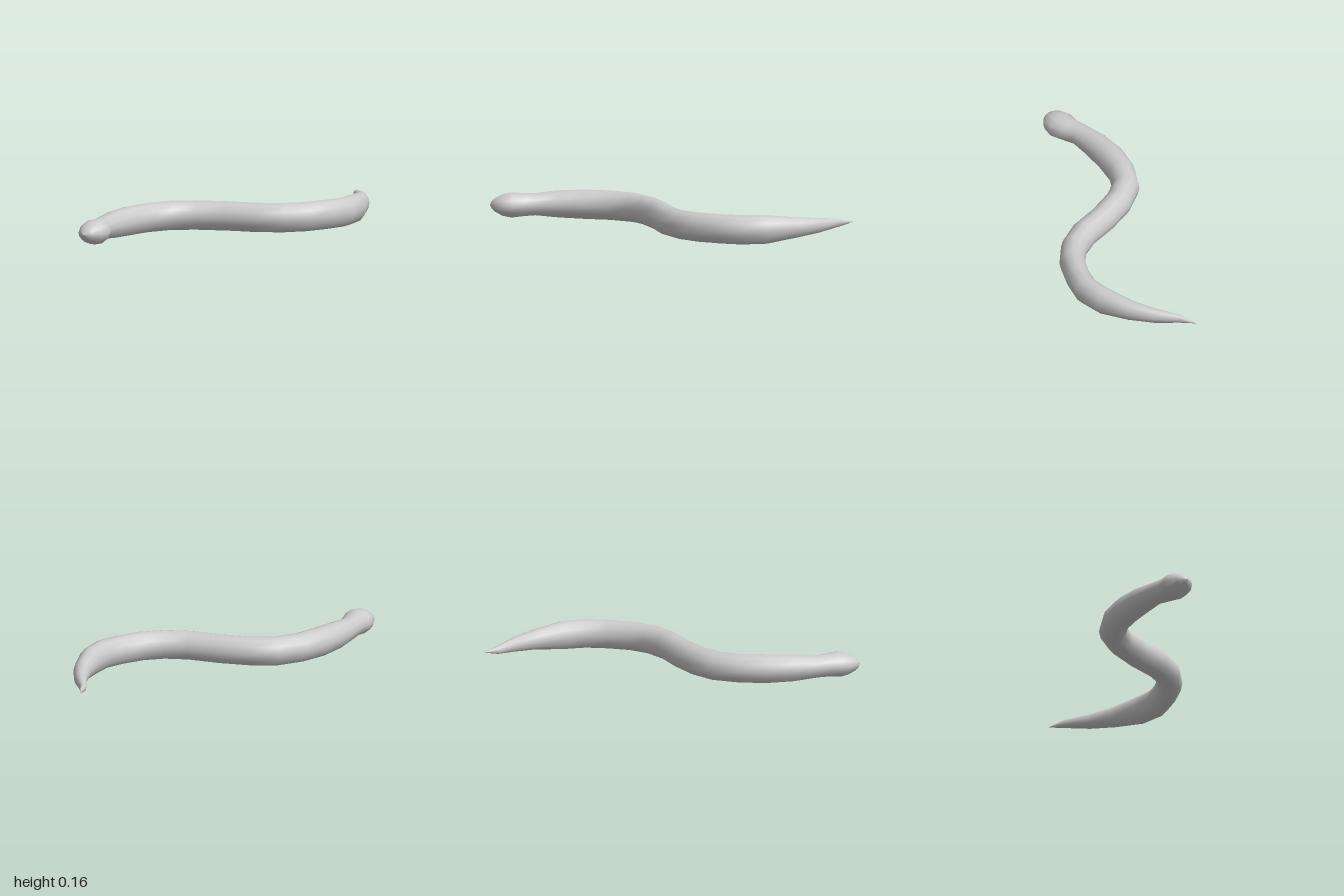
import * as THREE from 'three';

const SIDES = 12;
const MID_Y = 0.08;

// Cross-sections from tail to head: centre x, centre z, half width, half height
const SECTIONS = [
  [-0.2, -1.0, 0, 0],
  [-0.135, -0.935, 0.018, 0.022],
  [-0.015, -0.865, 0.034, 0.04],
  [0.095, -0.775, 0.048, 0.055],
  [0.2, -0.65, 0.062, 0.077],
  [0.258, -0.53, 0.066, 0.079],
  [0.264, -0.41, 0.065, 0.079],
  [0.25, -0.28, 0.069, 0.079],
  [0.202, -0.165, 0.07, 0.079],
  [0.11, -0.062, 0.071, 0.079],
  [-0.03, 0.035, 0.071, 0.079],
  [-0.155, 0.145, 0.072, 0.079],
  [-0.232, 0.255, 0.074, 0.079],
  [-0.255, 0.39, 0.074, 0.079],
  [-0.24, 0.53, 0.075, 0.079],
  [-0.202, 0.665, 0.069, 0.073],
  [-0.155, 0.78, 0.06, 0.06],
  [-0.115, 0.835, 0.067, 0.062],
  [-0.085, 0.89, 0.083, 0.068],
  [-0.068, 0.935, 0.073, 0.058],
  [-0.06, 0.972, 0.049, 0.038],
  [-0.054, 0.99, 0.026, 0.02],
  [-0.05, 1.0, 0, 0],
];

// Loft elliptical rings, each square to the winding centre line
function loft(sections) {
  const positions = [], index = [];
  const last = sections.length - 1;
  sections.forEach(([x, z, width, height], i) => {
    const before = sections[Math.max(i - 1, 0)];
    const after = sections[Math.min(i + 1, last)];
    const along = new THREE.Vector2(after[0] - before[0], after[1] - before[1]).normalize();
    for (let j = 0; j < SIDES; j++) {
      const angle = (j / SIDES) * Math.PI * 2;
      const side = Math.cos(angle) * width;
      positions.push(x + along.y * side, MID_Y + Math.sin(angle) * height, z - along.x * side);
    }
    if (i === last) return;
    for (let j = 0; j < SIDES; j++) {
      const a = i * SIDES + j, b = i * SIDES + ((j + 1) % SIDES);
      const c = a + SIDES, d = b + SIDES;
      if (i > 0) index.push(a, b, c);
      if (i < last - 1) index.push(b, d, c);
      else index.push(); // the nose closes to a point
    }
  });
  // the tail triangles are the second half of the first strip
  const geometry = new THREE.BufferGeometry();
  geometry.setAttribute('position', new THREE.Float32BufferAttribute(positions, 3));
  geometry.setIndex(index);
  geometry.computeVertexNormals();
  return geometry;
}

export function createModel() {
  const model = new THREE.Group();
  model.name = 'snake';
  const material = new THREE.MeshStandardMaterial({ color: 0xcccccc });
  const body = new THREE.Mesh(loft(SECTIONS), material);
  body.name = 'body';
  model.add(body);
  return model;
}
